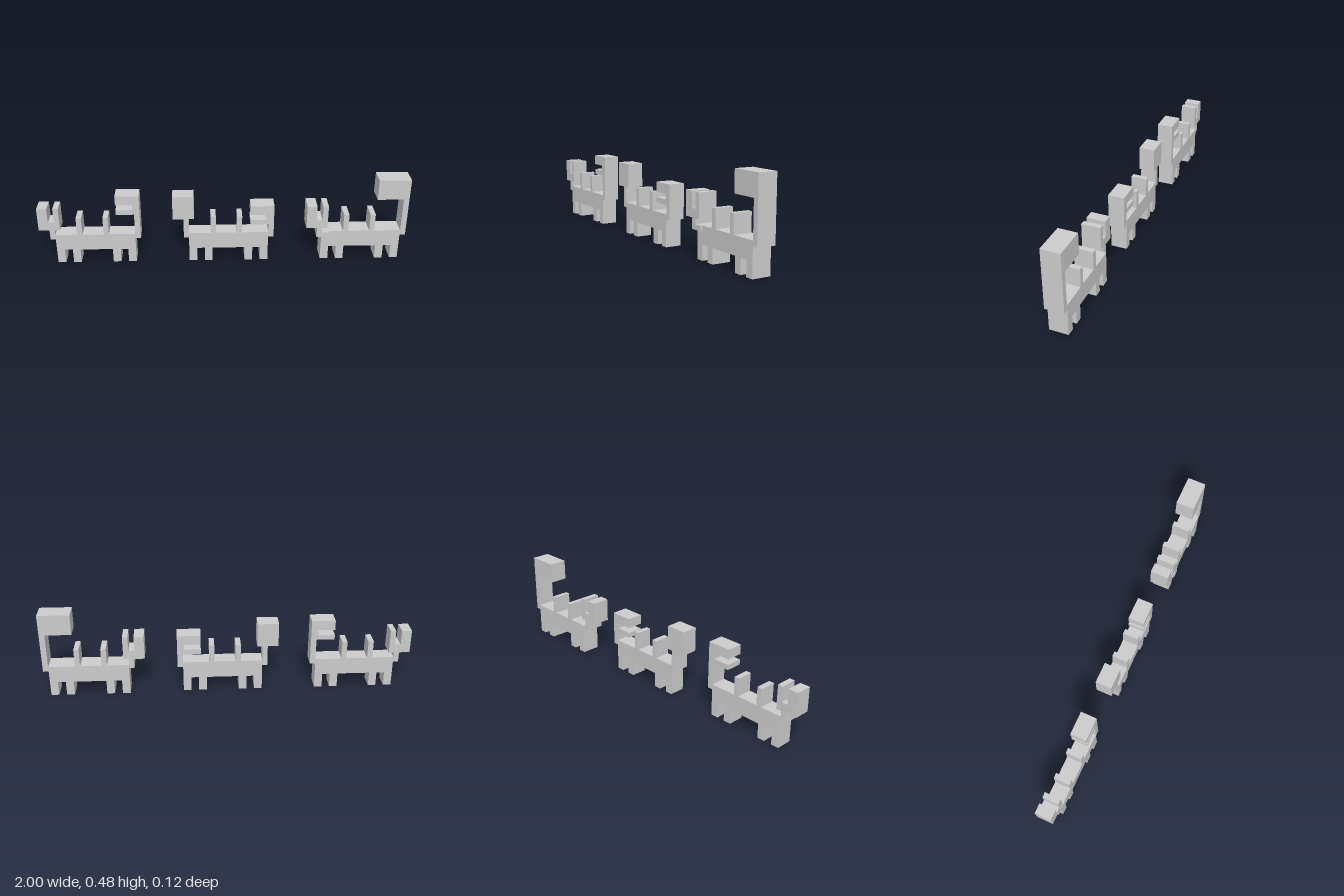
import * as THREE from 'three';

const grey = new THREE.MeshStandardMaterial({ color: 0xcccccc, flatShading: true });

// Flat profile extruded from z0 to z1
function slab(name, points, z0, z1) {
  const shape = new THREE.Shape(points.map(([x, y]) => new THREE.Vector2(x, y)));
  const geometry = new THREE.ExtrudeGeometry(shape, { depth: z1 - z0, bevelEnabled: false });
  geometry.translate(0, 0, z0);
  const mesh = new THREE.Mesh(geometry, grey);
  mesh.name = name;
  return mesh;
}

// Body with four legs below and two spikes on its back
function bodyProfile() {
  const legs = [[0, 0.043], [0.086, 0.128], [0.305, 0.348], [0.39, 0.433]];
  const spikes = [[0.262, 0.29], [0.118, 0.147]];
  const points = [];
  for (const [a, b] of legs) {
    if (a > 0) points.push([a, 0.08]);
    points.push([a, 0], [b, 0]);
    if (b < 0.433) points.push([b, 0.08]);
  }
  points.push([0.433, 0.175]);
  for (const [a, b] of spikes) points.push([b, 0.175], [b, 0.275], [a, 0.275], [a, 0.175]);
  points.push([0, 0.175]);
  return points;
}

// Two-pronged claw on a stem; foot is where the stem's base ends
function clawTail(foot) {
  const base = foot > 0 ? [[foot, 0.147], [foot, 0.175], [0, 0.175]] : [[0, 0.147]];
  return [
    [-0.028, 0.147], ...base, [0, 0.204], [0.029, 0.204], [0.029, 0.335], [0, 0.335],
    [0, 0.252], [-0.032, 0.252], [-0.032, 0.335], [-0.086, 0.335], [-0.086, 0.204], [-0.028, 0.204],
  ];
}

// Square club on a stem
const clubTail = [
  [-0.028, 0.147], [0, 0.147], [0, 0.262], [0.029, 0.262],
  [0.029, 0.395], [-0.086, 0.395], [-0.086, 0.262], [-0.028, 0.262],
];

// Neck and open jaws, reaching up to the given height
function jawHead(top) {
  return [
    [0.433, 0.147], [0.463, 0.147], [0.463, top], [0.335, top], [0.335, top - 0.053],
    [0.425, top - 0.053], [0.425, top - 0.083], [0.335, top - 0.083], [0.335, top - 0.111], [0.433, top - 0.111],
  ];
}

// Neck and solid block head
const blockHead = [
  [0.433, 0.147], [0.463, 0.147], [0.463, 0.48],
  [0.291, 0.48], [0.291, 0.365], [0.433, 0.365],
];

export function createModel() {
  const model = new THREE.Group();
  model.name = 'creatures';
  const creatures = [
    { name: 'clawTailCreature', tail: clawTail(0), head: jawHead(0.405), z: [-0.043, 0.045], tailZ: [-0.043, 0.045] },
    { name: 'clubTailCreature', tail: clubTail, head: jawHead(0.335), z: [-0.043, 0.045], tailZ: [-0.043, 0.045] },
    { name: 'blockHeadCreature', tail: clawTail(0.043), head: blockHead, z: [-0.057, 0.045], tailZ: [-0.043, 0.059] },
  ];
  creatures.forEach(({ name, tail, head, z, tailZ }, i) => {
    const creature = new THREE.Group();
    creature.name = name;
    creature.add(slab('body', bodyProfile(), ...z), slab('head', head, ...z), slab('tail', tail, ...tailZ));
    creature.position.x = -0.914 + i * 0.7255;
    model.add(creature);
  });
  return model;
}
